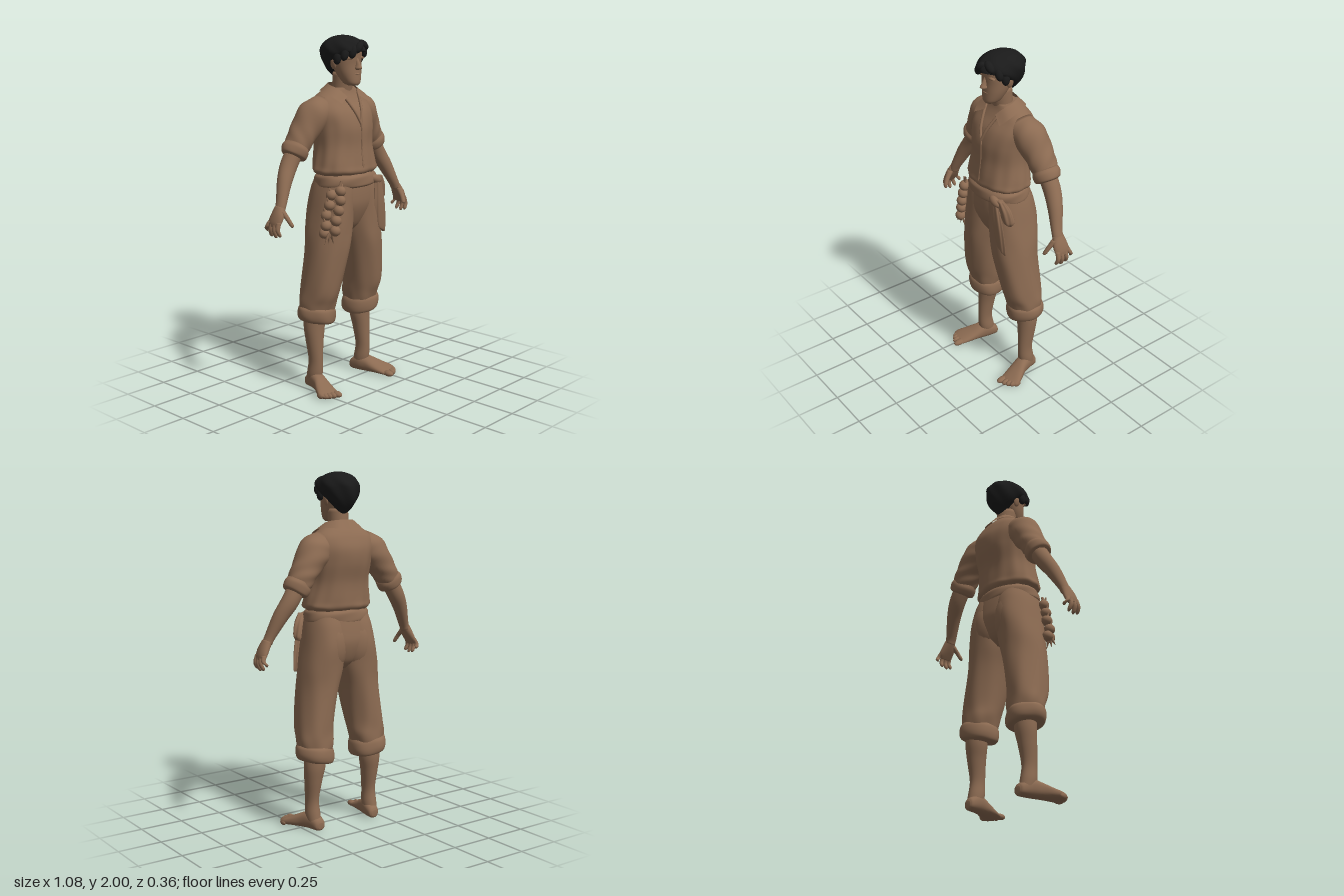
import * as THREE from 'three';

const brown = new THREE.MeshStandardMaterial({ color: 0x8c6b52, side: THREE.DoubleSide });
brown.name = 'warm brown';
const black = new THREE.MeshStandardMaterial({ color: 0x1a1a1a });
black.name = 'hair black';

const V = (p) => new THREE.Vector3(p[0], p[1], p[2]);

function add(parent, name, geometry, material = brown) {
  const m = new THREE.Mesh(geometry, material);
  m.name = name;
  parent.add(m);
  return m;
}

// Smooth closed body through rings [x, y, z, halfWidth, halfDepth, tilt], lowest ring first.
// s = -1 mirrors it; fold(angle, t) scales the radius for cloth creases.
function loft(rings, { s = 1, n = 2, seg = 36, sub = 6, fold = () => 1 } = {}) {
  const centre = new THREE.CatmullRomCurve3(rings.map((r) => new THREE.Vector3(r[0] * s, r[1], r[2])), false, 'catmullrom');
  const size = new THREE.CatmullRomCurve3(rings.map((r) => new THREE.Vector3(r[3], r[4], (r[5] || 0) * s)), false, 'catmullrom');
  const rows = (rings.length - 1) * sub;
  const pos = [], idx = [];
  const pw = (v) => Math.sign(v) * Math.abs(v) ** (2 / n);
  for (let i = 0; i <= rows; i++) {
    const t = i / rows, c = centre.getPoint(t), k = size.getPoint(t);
    for (let j = 0; j < seg; j++) {
      const th = (j / seg) * Math.PI * 2;
      const f = fold(s > 0 ? th : Math.PI - th, t);
      const u = k.x * pw(Math.cos(th)) * f, w = k.y * pw(Math.sin(th)) * f;
      pos.push(c.x + u * Math.cos(k.z), c.y + u * Math.sin(k.z), c.z + w);
      if (i < rows) {
        const a = i * seg + j, b = i * seg + ((j + 1) % seg);
        idx.push(a, a + seg, b, b, a + seg, b + seg);
      }
    }
  }
  const c0 = centre.getPoint(0), c1 = centre.getPoint(1), base = (rows + 1) * seg;
  pos.push(c0.x, c0.y, c0.z, c1.x, c1.y, c1.z);
  for (let j = 0; j < seg; j++) {
    const k = (j + 1) % seg;
    idx.push(base, j, k, base + 1, rows * seg + k, rows * seg + j);
  }
  const g = new THREE.BufferGeometry();
  g.setAttribute('position', new THREE.Float32BufferAttribute(pos, 3));
  g.setIndex(idx);
  g.computeVertexNormals();
  return g;
}

function blob(parent, name, p, r, rotZ = 0, mat = brown) {
  const m = add(parent, name, new THREE.SphereGeometry(1, 20, 14), mat);
  m.position.set(...p);
  m.scale.set(...r);
  m.rotation.z = rotZ;
  return m;
}

const tube = (pts, r) => new THREE.TubeGeometry(new THREE.CatmullRomCurve3(pts.map(V)), 32, r, 8);

// Strip of cloth between two edges.
function ribbon(edgeA, edgeB, steps = 24) {
  const a = new THREE.CatmullRomCurve3(edgeA.map(V)), b = new THREE.CatmullRomCurve3(edgeB.map(V));
  const pos = [], idx = [];
  for (let i = 0; i <= steps; i++) {
    pos.push(...a.getPoint(i / steps).toArray(), ...b.getPoint(i / steps).toArray());
    if (i < steps) idx.push(2 * i, 2 * i + 1, 2 * i + 2, 2 * i + 2, 2 * i + 1, 2 * i + 3);
  }
  const g = new THREE.BufferGeometry();
  g.setAttribute('position', new THREE.Float32BufferAttribute(pos, 3));
  g.setIndex(idx);
  g.computeVertexNormals();
  return g;
}

function buildHead(root) {
  const head = new THREE.Group();
  head.name = 'head';
  root.add(head);
  add(head, 'neck', loft([[0, 1.6, -0.035, 0.07, 0.06], [0, 1.68, -0.025, 0.058, 0.056], [0, 1.8, -0.01, 0.058, 0.062]]));
  add(head, 'face', loft([
    [0, 1.728, 0.06, 0.026, 0.028], [0, 1.745, 0.047, 0.048, 0.049], [0, 1.79, 0.028, 0.067, 0.067],
    [0, 1.84, 0.012, 0.077, 0.081], [0, 1.885, 0.002, 0.081, 0.094], [0, 1.92, 0, 0.078, 0.093], [0, 1.965, -0.01, 0.05, 0.06],
  ], { n: 2.2 }));
  add(head, 'nose', loft([
    [0, 1.814, 0.09, 0.012, 0.012], [0, 1.822, 0.098, 0.019, 0.025], [0, 1.842, 0.094, 0.013, 0.02], [0, 1.88, 0.08, 0.01, 0.014],
  ], { seg: 16 }));
  blob(head, 'upperLip', [0, 1.791, 0.087], [0.024, 0.006, 0.011]);
  blob(head, 'lowerLip', [0, 1.78, 0.085], [0.02, 0.006, 0.01]);
  for (const s of [1, -1]) {
    blob(head, 'brow', [s * 0.036, 1.879, 0.079], [0.03, 0.009, 0.013], -s * 0.12);
    blob(head, 'ear', [s * 0.081, 1.845, -0.012], [0.01, 0.03, 0.02], -s * 0.2);
  }

  // Hair cap: the hairline drops from the forehead to the nape.
  const g = new THREE.SphereGeometry(1, 56, 36), p = g.attributes.position;
  for (let i = 0; i < p.count; i++) {
    const x = p.getX(i), y = p.getY(i), z = p.getZ(i);
    const az = Math.atan2(x, z), nz = Math.cos(az);
    const drop = nz > 0 ? 0.09 - 0.09 * nz : 0.09 - 0.07 * nz;
    const wave = 1 + 0.025 * Math.sin(7 * az + 5 * y) * Math.sqrt(1 - y * y);
    p.setXYZ(i, x * 0.111 * wave, 1.915 + y * (y > 0 ? 0.085 : drop), -0.014 + z * 0.139 * wave);
  }
  g.computeVertexNormals();
  add(head, 'hair', g, black);
  const locks = [[-0.075, 1.9, 0.07, 0.4], [-0.042, 1.912, 0.098, 0.4], [-0.012, 1.935, 0.112, 0.7],
    [0.045, 1.947, 0.095, -0.9], [0.08, 1.912, 0.06, -0.3], [-0.088, 1.88, 0.025, 0.1], [0.088, 1.88, 0.025, -0.1]];
  for (const [x, y, z, r] of locks) blob(head, 'hairLock', [x, y, z], [0.021, 0.038, 0.024], -r, black);
}

function buildShirt(root) {
  const shirt = new THREE.Group();
  shirt.name = 'shirt';
  root.add(shirt);
  add(shirt, 'shirtBody', loft([
    [0, 1.235, 0, 0.17, 0.12], [0, 1.26, 0, 0.203, 0.143], [0, 1.3, -0.003, 0.199, 0.142], [0, 1.4, -0.012, 0.182, 0.138],
    [0, 1.5, -0.024, 0.188, 0.148], [0, 1.58, -0.037, 0.2, 0.138], [0, 1.64, -0.047, 0.188, 0.108],
    [0, 1.68, -0.046, 0.145, 0.085], [0, 1.715, -0.036, 0.085, 0.064],
  ], { n: 2.2, seg: 72, fold: (a, t) => 1 + 0.016 * (1 - t) * Math.sin(13 * a + 6 * t) + 0.012 * (1 - t) * Math.sin(5 * a - 16 * t) }));
  add(shirt, 'placket', tube([[0, 1.53, 0.121], [0.004, 1.46, 0.125], [0, 1.38, 0.126], [0, 1.28, 0.14]], 0.006));
  for (const s of [1, -1]) {
    const m = (pts) => pts.map(([x, y, z]) => [x * s, y, z]);
    add(shirt, 'collar', ribbon(
      m([[0, 1.74, -0.095], [0.055, 1.738, -0.08], [0.084, 1.728, -0.03], [0.076, 1.71, 0.02], [0.045, 1.67, 0.06]]),
      m([[0, 1.69, -0.135], [0.085, 1.695, -0.115], [0.13, 1.695, -0.04], [0.136, 1.67, 0.035], [0.112, 1.635, 0.085]])));
    add(shirt, 'lapel', tube(m([[0.075, 1.7, 0.02], [0.052, 1.65, 0.062], [0.024, 1.58, 0.104], [0, 1.52, 0.122]]), 0.008));
    add(shirt, 'sleeve', loft([
      [0.325, 1.365, -0.076, 0.06, 0.062, 0.55], [0.29, 1.425, -0.076, 0.07, 0.076, 0.58], [0.25, 1.488, -0.07, 0.077, 0.084, 0.64],
      [0.187, 1.568, -0.056, 0.094, 0.094, 0.78], [0.115, 1.615, -0.048, 0.075, 0.078, 0.95],
    ], { s, fold: (a, t) => 1 + 0.03 * Math.sin(4 * a + 22 * t) * (1 - 0.5 * t) }));
    add(shirt, 'sleeveCuff', loft([
      [0.334, 1.353, -0.076, 0.055, 0.055, 0.55], [0.329, 1.362, -0.076, 0.071, 0.071, 0.55],
      [0.313, 1.39, -0.076, 0.076, 0.077, 0.55], [0.3, 1.412, -0.076, 0.068, 0.07, 0.55],
    ], { s, fold: (a, t) => 1 + 0.02 * Math.sin(3 * a + 5 * t) }));
  }
}

function buildArm(root, s) {
  const arm = new THREE.Group();
  arm.name = s > 0 ? 'leftArm' : 'rightArm';
  root.add(arm);
  add(arm, 'forearm', loft([
    [0.477, 1.09, -0.03, 0.026, 0.031, 0.45], [0.462, 1.125, -0.035, 0.028, 0.033, 0.5], [0.415, 1.225, -0.06, 0.041, 0.042, 0.55],
    [0.365, 1.305, -0.078, 0.048, 0.048, 0.55], [0.31, 1.395, -0.078, 0.048, 0.05, 0.55],
  ], { s }));
  add(arm, 'palm', loft([
    [0.524, 1.0, -0.03, 0.013, 0.038, 0.3], [0.515, 1.025, -0.03, 0.02, 0.047, 0.35],
    [0.498, 1.06, -0.027, 0.025, 0.044, 0.4], [0.477, 1.1, -0.03, 0.026, 0.031, 0.45],
  ], { s }));
  // Fingers: knuckle depth, tip depth, tip height
  for (const [zk, zt, y] of [[0.002, 0.01, 0.95], [-0.02, -0.02, 0.942], [-0.042, -0.053, 0.947], [-0.062, -0.088, 0.972]]) {
    add(arm, 'finger', loft([
      [0.516, y, zt, 0.005, 0.005], [0.521, y + 0.012, zt, 0.011, 0.011], [0.53, (y + 1.03) / 2, (zt + zk) / 2, 0.012, 0.0125], [0.517, 1.03, zk, 0.015, 0.015],
    ], { s, seg: 14 }));
  }
  add(arm, 'thumb', loft([
    [0.462, 1.0, 0.047, 0.005, 0.005], [0.464, 1.01, 0.045, 0.012, 0.012], [0.473, 1.04, 0.028, 0.014, 0.015], [0.485, 1.085, -0.008, 0.019, 0.022],
  ], { s, seg: 14 }));
}

function buildLeg(root, s) {
  const leg = new THREE.Group();
  leg.name = s > 0 ? 'leftLeg' : 'rightLeg';
  root.add(leg);
  add(leg, 'trouserLeg', loft([
    [0.183, 0.44, -0.05, 0.088, 0.09], [0.18, 0.51, -0.043, 0.102, 0.102], [0.172, 0.6, -0.026, 0.104, 0.116],
    [0.142, 0.8, -0.01, 0.11, 0.131], [0.12, 0.93, -0.012, 0.118, 0.138], [0.104, 1.05, -0.014, 0.112, 0.143],
    [0.092, 1.15, -0.008, 0.105, 0.135], [0.08, 1.22, 0, 0.1, 0.12],
  ], { s, n: 2.2, seg: 48, fold: (a, t) => 1 + (1 - t) * (0.026 * Math.sin(3 * a + 17 * t) + 0.018 * Math.sin(7 * a - 12 * t)) }));
  add(leg, 'trouserCuff', loft([
    [0.184, 0.39, -0.05, 0.07, 0.07, 0.16], [0.184, 0.4, -0.05, 0.1, 0.1, 0.16], [0.185, 0.43, -0.05, 0.111, 0.109, 0.14],
    [0.185, 0.468, -0.048, 0.107, 0.106, 0.12], [0.184, 0.49, -0.047, 0.092, 0.094, 0.1],
  ], { s, seg: 48, fold: (a, t) => 1 + 0.018 * Math.sin(5 * a + 3 * t) }));
  add(leg, 'shin', loft([
    [0.199, 0.03, -0.065, 0.036, 0.045], [0.2, 0.09, -0.05, 0.041, 0.049], [0.2, 0.17, -0.043, 0.037, 0.045],
    [0.198, 0.28, -0.053, 0.049, 0.053], [0.193, 0.36, -0.06, 0.061, 0.059], [0.19, 0.43, -0.06, 0.062, 0.06],
  ], { s }));

  // Foot is lofted heel to toe, then laid flat
  const foot = loft([
    [0.19, -0.12, -0.03, 0.018, 0.018], [0.192, -0.105, -0.035, 0.034, 0.034], [0.2, -0.05, -0.05, 0.043, 0.05],
    [0.215, 0, -0.045, 0.047, 0.045], [0.236, 0.05, -0.033, 0.058, 0.033], [0.253, 0.095, -0.023, 0.064, 0.023],
    [0.252, 0.13, -0.016, 0.052, 0.015], [0.245, 0.145, -0.014, 0.036, 0.01],
  ], { s, n: 2.3 });
  foot.rotateX(Math.PI / 2);
  add(leg, 'foot', foot);
  const toes = [[0.222, 0.145, 0.021, 0.036], [0.253, 0.14, 0.015, 0.028], [0.274, 0.13, 0.014, 0.026], [0.292, 0.115, 0.014, 0.025], [0.305, 0.097, 0.014, 0.024]];
  for (const [x, z, r, len] of toes) blob(leg, 'toe', [s * x, 0.017, z], [r, 0.017, len]);
}

function buildWaist(root) {
  const waist = new THREE.Group();
  waist.name = 'waist';
  root.add(waist);
  add(waist, 'trouserSeat', loft([
    [0, 0.91, -0.015, 0.03, 0.06], [0, 0.96, -0.018, 0.12, 0.105], [0, 1.05, -0.014, 0.195, 0.138],
    [0, 1.13, -0.008, 0.197, 0.14], [0, 1.25, 0, 0.175, 0.125],
  ], { n: 2.3, seg: 48 }));
  for (const s of [1, -1]) blob(waist, 'buttock', [s * 0.09, 1.05, -0.05], [0.112, 0.17, 0.11]);
  add(waist, 'sash', loft([
    [0, 1.17, 0.002, 0.178, 0.13], [0, 1.185, 0.003, 0.192, 0.143], [0, 1.225, 0.003, 0.19, 0.142], [0, 1.25, 0.002, 0.17, 0.125],
  ], { n: 2.2, seg: 60, fold: (a, t) => 1 + 0.012 * Math.sin(4 * a + 9 * t) }));
  blob(waist, 'sashKnot', [0.125, 1.198, 0.123], [0.045, 0.026, 0.024], -0.35);
  const crease = (a, t) => 1 + 0.1 * Math.sin(6 * a + 3 * t);
  add(waist, 'sashLongEnd', loft([
    [0.182, 0.892, 0.112, 0.022, 0.008, -0.5], [0.172, 0.92, 0.116, 0.042, 0.014, -0.4], [0.152, 1.06, 0.126, 0.042, 0.016], [0.13, 1.2, 0.128, 0.024, 0.014],
  ], { fold: crease }));
  add(waist, 'sashShortEnd', loft([
    [0.208, 1.065, 0.08, 0.014, 0.014, 0.3], [0.2, 1.09, 0.085, 0.03, 0.028, 0.2], [0.178, 1.16, 0.098, 0.037, 0.028], [0.15, 1.215, 0.115, 0.03, 0.016],
  ], { fold: crease }));

  // Hanging string of bulbs
  const string = new THREE.Group();
  string.name = 'bulbString';
  root.add(string);
  add(string, 'cord', tube([[-0.155, 1.22, 0.12], [-0.19, 1.13, 0.11], [-0.21, 1.03, 0.1], [-0.225, 0.93, 0.1]], 0.008));
  const bulbs = [[-0.165, 1.165, 0.12], [-0.2, 1.145, 0.085], [-0.172, 1.115, 0.125], [-0.215, 1.09, 0.085], [-0.185, 1.06, 0.125],
    [-0.23, 1.035, 0.075], [-0.2, 1.005, 0.12], [-0.242, 0.98, 0.085], [-0.208, 0.95, 0.12], [-0.24, 0.935, 0.07]];
  bulbs.forEach(([x, y, z], i) => {
    const lean = i % 2 ? 0.4 : -0.4;
    blob(string, 'bulb', [x, y, z], [0.031, 0.029, 0.031], lean);
    const tip = add(string, 'bulbStem', new THREE.ConeGeometry(0.012, 0.04, 8));
    tip.position.set(x - lean * 0.03, y + 0.03, z);
    tip.rotation.z = lean;
  });
  for (const [x, r] of [[-0.255, -0.5], [-0.235, -0.15], [-0.21, 0.3]]) {
    const leaf = add(string, 'driedLeaf', new THREE.ConeGeometry(0.012, 0.07, 6));
    leaf.position.set(x, 0.905, 0.1);
    leaf.rotation.z = Math.PI + r;
  }
}

export function createModel() {
  const root = new THREE.Group();
  root.name = 'standingMan';
  buildHead(root);
  buildShirt(root);
  buildWaist(root);
  for (const s of [1, -1]) {
    buildArm(root, s);
    buildLeg(root, s);
  }
  return root;
}
